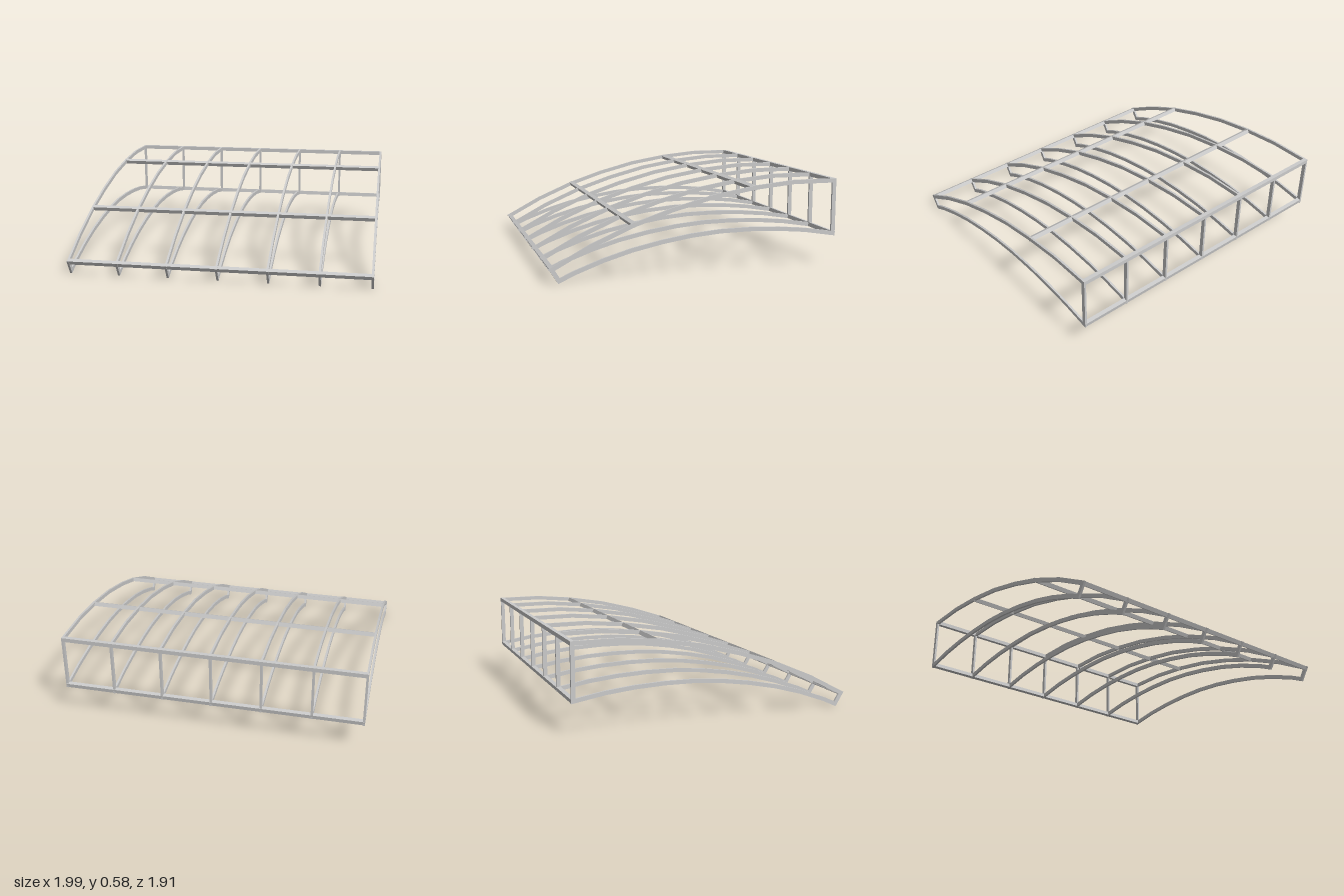
import * as THREE from 'three';

const material = new THREE.MeshStandardMaterial({ color: 0xcccccc, flatShading: true });
const BAR = 0.027; // bar thickness seen from the side
const RIB_WIDTH = 0.014;

// Centre line of one rib frame as [z, y]: top chord, rear post, bottom chord, nose.
const centreLine = [
  [0.935, 0.091], [0.688, 0.223], [0.417, 0.339], [0.169, 0.421], [-0.104, 0.492],
  [-0.379, 0.538], [-0.648, 0.564], [-0.936, 0.564],
  [-0.936, 0.213], [-0.735, 0.246], [-0.546, 0.264], [-0.347, 0.272], [-0.148, 0.269],
  [0.046, 0.252], [0.235, 0.223], [0.434, 0.181], [0.617, 0.128], [0.8, 0.061], [0.891, 0.019],
].map(([z, y]) => new THREE.Vector2(z, y));

// Mitred offset of a closed counter-clockwise outline; positive grows it.
function offsetOutline(points, distance) {
  const normal = (a, b) => new THREE.Vector2(b.y - a.y, a.x - b.x).normalize();
  return points.map((p, i) => {
    const n1 = normal(points.at(i - 1), p);
    const n2 = normal(p, points[(i + 1) % points.length]);
    const mitre = n1.clone().add(n2);
    return mitre.multiplyScalar(distance / (1 + n1.dot(n2))).add(p);
  });
}

function ribGeometry() {
  const shape = new THREE.Shape(offsetOutline(centreLine, BAR / 2));
  shape.holes.push(new THREE.Path(offsetOutline(centreLine, -BAR / 2)));
  const geometry = new THREE.ExtrudeGeometry(shape, { depth: RIB_WIDTH, bevelEnabled: false });
  geometry.translate(0, 0, -RIB_WIDTH / 2);
  geometry.rotateY(-Math.PI / 2);
  return geometry;
}

export function createModel() {
  const model = new THREE.Group();
  model.name = 'curvedCanopyFrame';

  // Seven identical rib frames
  const rib = ribGeometry();
  for (let i = -3; i <= 3; i++) {
    const mesh = new THREE.Mesh(rib, material);
    mesh.name = 'ribFrame';
    mesh.position.x = i * 0.33;
    model.add(mesh);
  }

  // Cross beams: name, z, y, tilt about x
  const beams = [
    ['frontBeam', 0.932, 0.091, 0.49],
    ['lowerPurlin', 0.419, 0.339, 0.44],
    ['upperPurlin', -0.381, 0.535, 0.44],
    ['rearTopBeam', -0.936, 0.564, 0],
    ['rearBottomBeam', -0.936, 0.214, -0.16],
  ];
  const beam = new THREE.BoxGeometry(1.994, BAR, BAR);
  for (const [name, z, y, tilt] of beams) {
    const mesh = new THREE.Mesh(beam, material);
    mesh.name = name;
    mesh.position.set(0, y, z);
    mesh.rotation.x = tilt;
    model.add(mesh);
  }
  return model;
}
